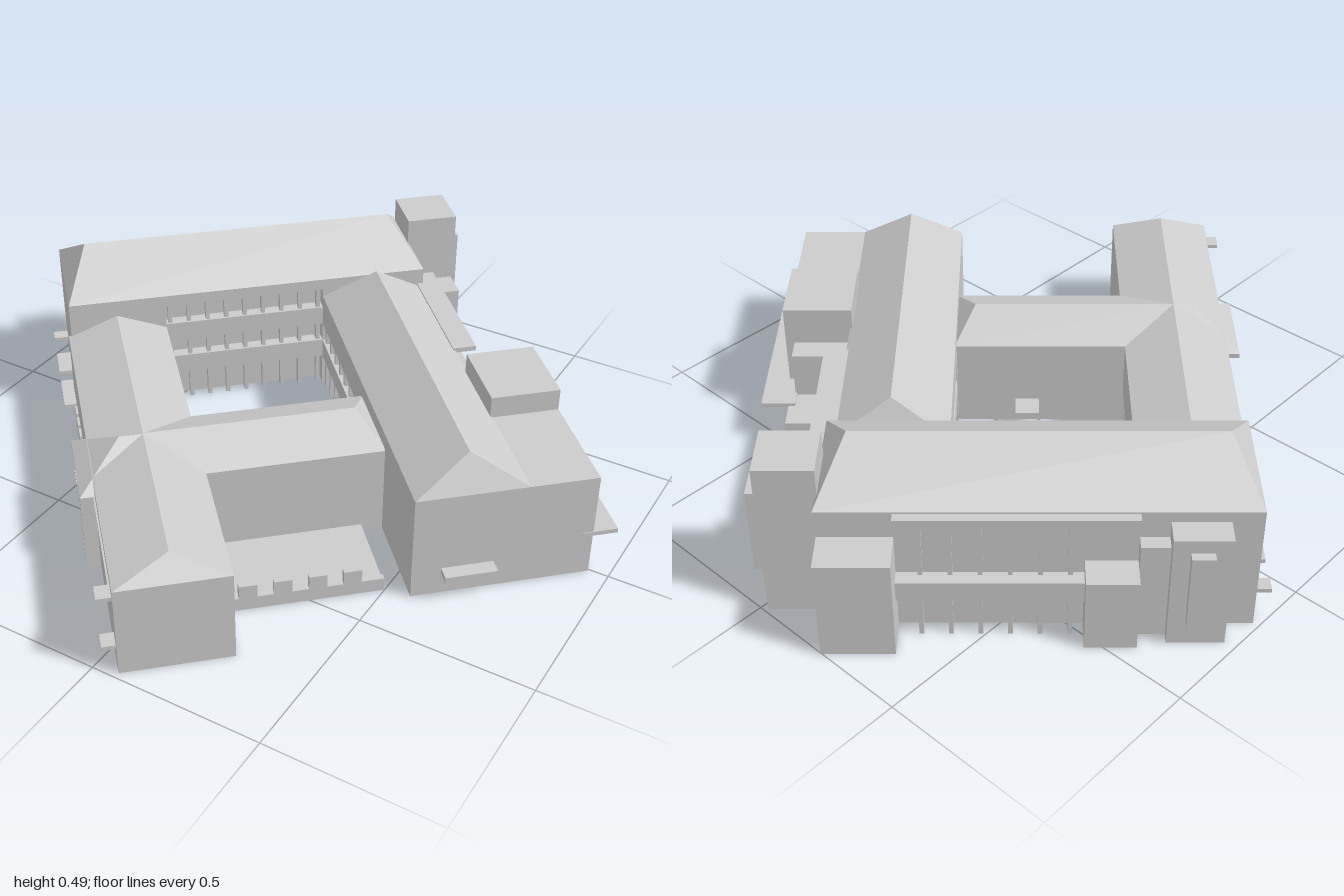
import * as THREE from 'three';

const material = new THREE.MeshStandardMaterial({ color: 0xcccccc, flatShading: true, side: THREE.DoubleSide });

export function createModel() {
  const model = new THREE.Group();
  model.name = 'courtyardBuilding';
  // The plan is laid out on its own axes (a, c), then turned on the site
  const plan = new THREE.Group();
  plan.name = 'plan';
  plan.rotation.y = -0.826;
  model.add(plan);

  const add = (name, geometry) => {
    const mesh = new THREE.Mesh(geometry, material);
    mesh.name = name;
    plan.add(mesh);
    return mesh;
  };
  const box = (name, a0, a1, y0, y1, c0, c1) =>
    add(name, new THREE.BoxGeometry(a1 - a0, y1 - y0, c1 - c0))
      .position.set((a0 + a1) / 2, (y0 + y1) / 2, (c0 + c1) / 2);

  // Hipped roof; an inset of 0 leaves that end vertical
  function hipRoof(name, a0, a1, c0, c1, y0, y1, axis, i0, i1) {
    const am = (a0 + a1) / 2, cm = (c0 + c1) / 2;
    const along = axis === 'a';
    const v = [
      [a0, y0, c0], [a1, y0, c0], [a1, y0, c1], [a0, y0, c1],
      along ? [a0 + i0, y1, cm] : [am, y1, c0 + i0],
      along ? [a1 - i1, y1, cm] : [am, y1, c1 - i1],
    ];
    const faces = along
      ? [[3, 2, 5, 4], [1, 0, 4, 5], [2, 1, 5], [0, 3, 4]]
      : [[2, 1, 4, 5], [0, 3, 5, 4], [3, 2, 5], [1, 0, 4]];
    const points = [];
    for (const f of faces)
      for (let i = 1; i < f.length - 1; i++) points.push(...v[f[0]], ...v[f[i]], ...v[f[i + 1]]);
    const g = new THREE.BufferGeometry();
    g.setAttribute('position', new THREE.Float32BufferAttribute(points, 3));
    g.computeVertexNormals();
    add(name, g);
  }

  // Evenly spaced posts along one axis
  function posts(name, axis, from, to, count, s0, s1, y0, y1, w = 0.012) {
    for (let i = 0; i < count; i++) {
      const t = from + (to - from) * i / (count - 1);
      if (axis === 'a') box(name, t - w / 2, t + w / 2, y0, y1, s0, s1);
      else box(name, s0, s1, y0, y1, t - w / 2, t + w / 2);
    }
  }

  // Main wing, its court face set back behind galleries
  box('mainWing', -0.79, -0.46, 0, 0.38, -0.509, 0.607);
  box('mainWingEnd', -0.46, -0.424, 0, 0.38, 0.313, 0.607);
  box('mainWingEnd', -0.46, -0.424, 0, 0.38, -0.509, -0.184);
  hipRoof('mainRoof', -0.79, -0.424, -0.509, 0.607, 0.38, 0.49, 'a' === 'c' ? 'a' : 'c', 0.075, 0.073);
  for (const [y0, y1] of [[0.1, 0.16], [0.22, 0.28], [0.345, 0.38]])
    box('mainGalleryBand', -0.46, -0.424, y0, y1, -0.184, 0.313);
  posts('mainGalleryPost', 'c', -0.17, 0.3, 9, -0.45, -0.43, 0, 0.38);

  // Long wing
  box('longWing', -0.43, 0.643, 0, 0.32, -0.498, -0.215);
  box('longWingCourtWall', 0.05, 0.643, 0, 0.32, -0.215, -0.184);
  hipRoof('longRoof', -0.424, 0.643, -0.498, -0.184, 0.32, 0.42, 'a', 0.05, 0.055);
  for (const [y0, y1] of [[0.1, 0.16], [0.22, 0.32]])
    box('longGalleryBand', -0.424, 0.05, y0, y1, -0.215, -0.184);
  posts('longGalleryPost', 'a', -0.4, 0.03, 8, -0.205, -0.19, 0, 0.32);

  // Low wing
  box('lowWing', -0.43, 0.77, 0, 0.27, 0.335, 0.615);
  box('lowWingCourtWall', 0.07, 0.77, 0, 0.27, 0.313, 0.335);
  box('lowGalleryBand', -0.424, 0.07, 0.11, 0.27, 0.313, 0.335);
  posts('lowGalleryPost', 'a', -0.39, 0.04, 7, 0.316, 0.328, 0, 0.11);
  hipRoof('lowRoof', -0.43, 0.77, 0.313, 0.615, 0.27, 0.33, 'a', 0, 0.055);

  // Cross wing joining the low and long wings
  box('crossWing', 0.07, 0.345, 0, 0.27, -0.19, 0.32);
  hipRoof('crossRoof', 0.07, 0.345, -0.19, 0.463, 0.27, 0.33, 'c', 0.06, 0);
  box('courtCanopy', 0, 0.07, 0.065, 0.077, -0.01, 0.06);

  // Terrace with a notched parapet
  box('terrace', 0.345, 0.603, 0, 0.022, -0.122, 0.313);
  box('terraceParapet', 0.585, 0.603, 0.022, 0.04, -0.122, 0.313);
  for (let i = 0; i < 4; i++)
    box('parapetBlock', 0.585, 0.603, 0.04, 0.08, -0.06 + i * 0.095, -0.01 + i * 0.095);

  // Hipped porch on the outer side of the low wing
  box('porchEave', 0.075, 0.345, 0.225, 0.24, 0.5, 0.655);
  hipRoof('porchRoof', 0.075, 0.345, 0.463, 0.655, 0.24, 0.33, 'c', 0, 0.125);
  box('porchPier', 0.32, 0.345, 0, 0.225, 0.6, 0.655);
  box('eaveBand', 0.345, 0.72, 0.228, 0.238, 0.61, 0.62);
  box('endCanopy', 0.7, 0.75, 0.225, 0.237, 0.61, 0.655);

  // Door canopies and window frames on the outer side of the low wing
  for (const [a0, a1, y] of [[-0.76, -0.72, 0.08], [-0.64, -0.53, 0.07], [-0.47, -0.33, 0.075], [0.01, 0.075, 0.075], [0.7, 0.75, 0.065]])
    box('doorCanopy', a0, a1, y, y + 0.012, 0.6, 0.652);
  box('doorScreen', -0.47, -0.458, 0, 0.075, 0.607, 0.645);
  for (let i = 0; i < 6; i++)
    box('windowFrame', -0.3 + i * 0.06, -0.255 + i * 0.06, 0.005, 0.1, 0.61, 0.622);

  // Stair tower and its neighbour
  box('stairTower', -0.74, -0.58, 0, 0.47, -0.658, -0.5);
  box('towerPanel', -0.715, -0.63, 0.12, 0.375, -0.685, -0.655);
  box('towerAnnex', -0.58, -0.484, 0, 0.25, -0.652, -0.5);

  // Outer balconies of the long wing
  box('balconyBand', -0.484, -0.06, 0.13, 0.23, -0.56, -0.49);
  box('balconyCanopy', -0.484, -0.03, 0.315, 0.33, -0.56, -0.49);
  posts('balconyPost', 'a', -0.45, -0.14, 7, -0.555, -0.543, 0, 0.13);
  posts('balconyMullion', 'a', -0.45, -0.14, 7, -0.51, -0.495, 0.23, 0.315);

  // Flat-roofed annex with a raised plant room and a long canopy
  box('annex', 0.09, 0.643, 0, 0.32, -0.69, -0.49);
  box('plantRoom', 0.09, 0.32, 0.3, 0.385, -0.69, -0.49);
  box('annexStep', 0.02, 0.09, 0, 0.27, -0.665, -0.49);
  box('annexLow', -0.12, 0.02, 0, 0.13, -0.68, -0.49);
  box('annexWindow', 0.26, 0.31, 0.14, 0.24, -0.697, -0.68);
  box('longCanopy', -0.035, 0.645, 0.125, 0.138, -0.76, -0.66);
  box('gableCanopy', 0.64, 0.685, 0.068, 0.084, -0.412, -0.266);

  // Outer side of the main wing
  box('cornerBlock', -0.9, -0.78, 0, 0.3, -0.504, -0.312);
  box('rearBalcony', -0.83, -0.78, 0.12, 0.18, -0.312, 0.18);
  posts('rearPost', 'c', -0.25, 0.13, 6, -0.828, -0.816, 0, 0.12);
  posts('rearMullion', 'c', -0.25, 0.13, 6, -0.8, -0.785, 0.18, 0.37);
  box('rearCanopy', -0.815, -0.78, 0.355, 0.375, -0.312, 0.3);
  box('rearBlock', -0.877, -0.78, 0, 0.22, 0.165, 0.3);
  box('rearLink', -0.83, -0.78, 0, 0.3, 0.3, 0.375);
  box('rearStairBlock', -0.86, -0.78, 0, 0.35, 0.375, 0.525);
  box('rearStairPanel', -0.885, -0.855, 0.08, 0.31, 0.42, 0.48);

  return model;
}
